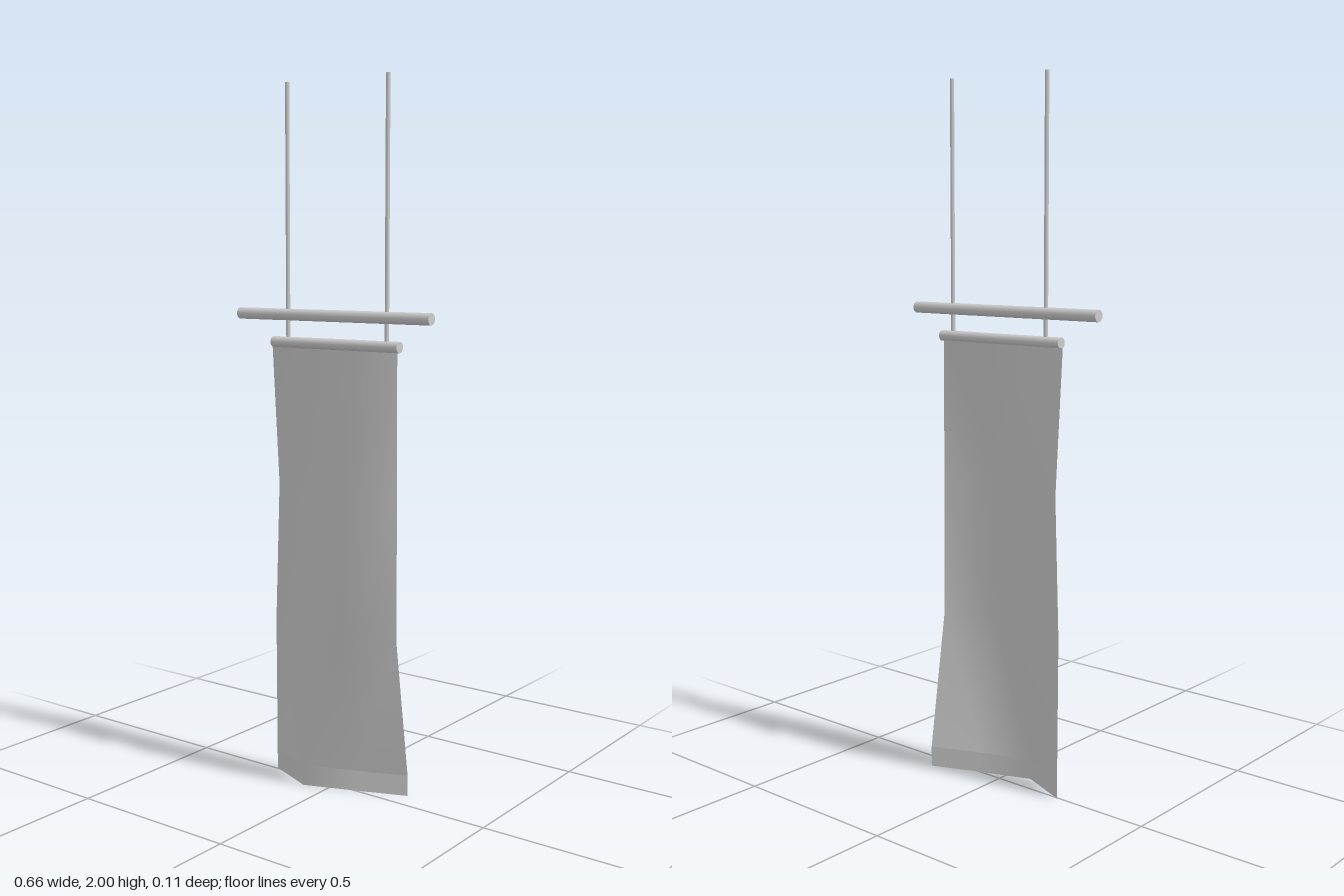
import * as THREE from 'three';

const material = new THREE.MeshStandardMaterial({ color: 0xcccccc });
const clothMaterial = new THREE.MeshStandardMaterial({ color: 0xcccccc, side: THREE.DoubleSide });
const BAR_Z = 0.0155;

function add(group, name, geometry, mat = material) {
  const mesh = new THREE.Mesh(geometry, mat);
  mesh.name = name;
  group.add(mesh);
  return mesh;
}

// Horizontal round bar from x0 to x1
function bar(group, name, x0, x1, y, radius) {
  const geometry = new THREE.CylinderGeometry(radius, radius, x1 - x0, 16).rotateZ(Math.PI / 2);
  add(group, name, geometry).position.set((x0 + x1) / 2, y, BAR_Z);
}

// Sheet of cloth: each row gives a height and the depth of every fold column
function sheet(rows) {
  const cols = [-0.216, -0.072, 0.072, 0.216];
  const geometry = new THREE.PlaneGeometry(1, 1, cols.length - 1, rows.length - 1);
  const position = geometry.attributes.position;
  rows.forEach(({ y, z }, r) => cols.forEach((x, c) => {
    position.setXYZ(r * cols.length + c, x, y, z[c]);
  }));
  geometry.computeVertexNormals();
  return geometry;
}

export function createModel() {
  const group = new THREE.Group();
  group.name = 'hangingBanner';

  // Wide carrying bar and the shorter bar holding the cloth
  bar(group, 'upperBar', -0.329, 0.329, 1.36, 0.0165);
  bar(group, 'clothBar', -0.205, 0.229, 1.282, 0.0155);

  // Two open-ended suspension cords
  for (const [name, x] of [['rightCord', -0.152], ['leftCord', 0.187]]) {
    const cord = add(group, name, new THREE.CylinderGeometry(0.006, 0.006, 0.715, 6, 1, true));
    cord.position.set(x, 1.6425, BAR_Z);
  }

  // Rippling cloth with a straight hem below it
  const lower = [-0.004, 0.055, 0, -0.058];
  add(group, 'cloth', sheet([
    { y: 1.27, z: [0.008, 0.008, 0.008, 0.008] },
    { y: 0.867, z: [-0.02, 0.01, 0.056, 0.005] },
    { y: 0.463, z: [-0.002, -0.008, 0.057, 0.003] },
    { y: 0.06, z: lower },
  ]), clothMaterial);
  add(group, 'hem', sheet([{ y: 0.06, z: lower }, { y: 0, z: lower }]), clothMaterial);

  return group;
}
